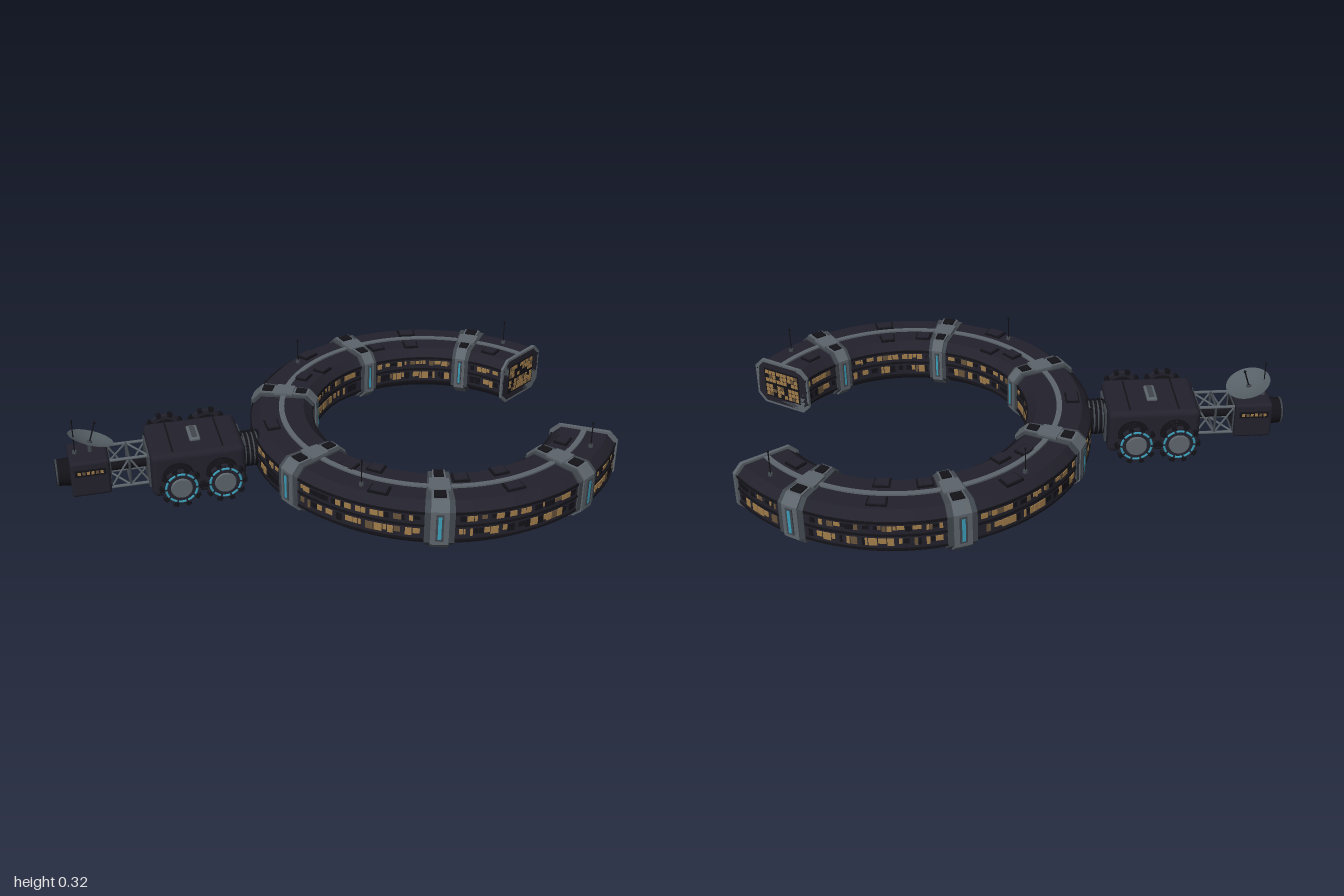
import * as THREE from 'three';
import { mergeGeometries, toCreasedNormals } from 'three/addons/utils/BufferGeometryUtils.js';
import { RoundedBoxGeometry } from 'three/addons/geometries/RoundedBoxGeometry.js';

const CX = 0.412, MID = 0.57, START = 32.5, PITCH = (360 - 2 * START) / 6, AXIS = 0.108;

export function createModel() {
  const model = new THREE.Group();
  const mat = (name, color, side = THREE.FrontSide) => {
    const m = new THREE.MeshStandardMaterial({ color, side });
    m.name = name;
    return m;
  };
  const hull = mat('hull navy', 0x22212c), black = mat('trim black', 0x121218);
  const dark = mat('dark steel', 0x40464d), steel = mat('steel', 0x5c646b);
  const amber = mat('window amber', 0xa07c4a), dim = mat('dim window', 0x66523a);
  const cyan = mat('lamp cyan', 0x3a9db8), pale = mat('dish grey', 0x566066, THREE.DoubleSide);

  let seed = 11;
  const rand = () => (seed = (seed * 16807) % 2147483647) / 2147483647;
  const add = (name, geo, material, parent = model, x = 0, y = 0, z = 0) => {
    const m = new THREE.Mesh(geo, material);
    m.name = name;
    m.position.set(x, y, z);
    parent.add(m);
    return m;
  };
  const rod = (name, a, b, r, material, parent = model) => {
    const from = new THREE.Vector3(...a), dir = new THREE.Vector3(...b).sub(from);
    const m = add(name, new THREE.CylinderGeometry(r, r, dir.length(), 8), material, parent);
    m.position.copy(from).addScaledVector(dir, 0.5);
    m.quaternion.setFromUnitVectors(new THREE.Vector3(0, 1, 0), dir.normalize());
    return m;
  };

  // Sweeps a (radius, height) outline around the ring centre, angles in degrees
  const arc = (pts, a0, a1, steps = 2) => {
    const shape = new THREE.Shape(pts.map(p => new THREE.Vector2(p[0], p[1])));
    const g = new THREE.ExtrudeGeometry(shape, { depth: 1, steps, bevelEnabled: false });
    const p = g.attributes.position;
    for (let i = 0; i < p.count; i++) {
      const a = THREE.MathUtils.degToRad(a0 + (a1 - a0) * p.getZ(i)), r = p.getX(i);
      p.setXYZ(i, CX + r * Math.cos(a), p.getY(i), r * Math.sin(a));
    }
    g.clearGroups();
    g.computeVertexNormals();
    return toCreasedNormals(g, 0.4);
  };
  const rect = (r0, r1, y0, y1) => [[r0, y0], [r1, y0], [r1, y1], [r0, y1]];
  const octagon = (o) => {
    const a = 0.455 - o, b = 0.685 + o, lo = 0.018 - o, hi = 0.19 + o, c = 0.032;
    return [[a + c, lo], [b - c, lo], [b, lo + c], [b, hi - c], [b - c, hi], [a + c, hi], [a, hi - c], [a, lo + c]];
  };

  // Ring hull with roof rail and wall ledges
  const ring = new THREE.Group();
  ring.name = 'habitatRing';
  model.add(ring);
  add('ringHull', arc(octagon(0), START, 360 - START, 120), hull, ring);
  add('roofRail', arc(rect(MID - 0.01, MID + 0.01, 0.188, 0.196), START, 360 - START, 120), steel, ring);
  const ledges = [];
  for (const y of [0.052, 0.108, 0.157])
    for (const [r0, r1] of [[0.451, 0.456], [0.684, 0.689]])
      ledges.push(arc(rect(r0, r1, y - 0.004, y + 0.004), START, 360 - START, 100));
  add('wallLedges', mergeGeometries(ledges), black, ring);

  // Two window rows on the outer and inner walls, in broken runs between collars
  const lit = [], faint = [], shut = [];
  for (let k = 0; k < 7; k++) {
    const a0 = k === 0 ? START + 2.5 : START + (k - 0.5) * PITCH + 5.5;
    const a1 = k === 6 ? 360 - START - 2.5 : START + (k + 0.5) * PITCH - 5.5;
    for (const [r0, r1, s] of [[0.452, 0.457, 1.4], [0.683, 0.688, 1]])
      for (const [y, h] of [[0.135, 0.02], [0.081, 0.028]])
        for (let a = a0; a < a1 - 0.5;) {
          const w = Math.min((0.5 + rand() * 2) * s, a1 - a), t = rand();
          const top = y + h / 2, bottom = rand() < 0.6 ? y - h / 2 : y - h / 5;
          (t < 0.52 ? lit : t < 0.66 ? faint : shut).push(arc(rect(r0, r1, bottom, top), a, a + w, 1));
          a += w + (0.15 + (rand() < 0.25 ? 1.2 : 0.1)) * s;
        }
  }

  // End bulkheads with glazed panels
  const flip = [(a, b) => [a, b], (a, b) => [360 - b, 360 - a]];
  for (const f of flip) {
    add('endFrame', arc(octagon(0.009), ...f(START, START + 1.3)), steel, ring);
    add('endPanel', arc(rect(0.488, 0.652, 0.042, 0.166), ...f(START - 0.15, START)), black, ring);
    for (let i = 0; i < 9; i++)
      for (let j = 0; j < 6; j++) {
        const r = 0.494 + i * 0.0165 + Math.floor(i / 3) * 0.003;
        const y = 0.048 + j * 0.0175 + Math.floor(j / 3) * 0.009;
        const t = rand();
        if (t < 0.85)
          (t < 0.7 ? lit : faint).push(arc(rect(r, r + 0.0145, y, y + 0.015), ...f(START - 0.3, START - 0.1), 1));
      }
  }
  add('litWindows', mergeGeometries(lit), amber, ring);
  add('dimWindows', mergeGeometries(faint), dim, ring);
  add('darkWindows', mergeGeometries(shut), black, ring);

  // Collars with lamps and roof hatches
  for (let k = 0; k < 6; k++) {
    const a = START + (k + 0.5) * PITCH, c = new THREE.Group();
    c.name = 'collar';
    ring.add(c);
    add('collarBase', arc(octagon(0.006), a - 4.3, a + 4.3, 4), dark, c);
    add('collarBand', arc(octagon(0.011), a - 2.6, a + 2.6, 3), steel, c);
    for (const [r0, r1] of [[0.439, 0.446], [0.694, 0.701]]) {
      add('lampFrame', arc(rect(r0 + 0.001, r1 - 0.001, 0.055, 0.16), a - 1.1, a + 1.1), dark, c);
      add('lamp', arc(rect(r0, r1, 0.062, 0.153), a - 0.5, a + 0.5), cyan, c);
    }
    for (const r of [0.505, 0.635])
      add('collarHatch', arc(rect(r - 0.02, r + 0.02, 0.198, 0.206), a - 1.9, a + 1.9), black, c);
    add('collarBridge', arc(rect(MID - 0.035, MID + 0.035, 0.195, 0.204), a - 3.6, a + 3.6), steel, c);
  }

  // Roof boxes scattered between collars
  for (const [a, r] of [[45, 0.52], [82, 0.615], [98, 0.518], [82, 0.51], [131, 0.507], [141, 0.54], [125, 0.63], [180, 0.62]])
    for (const f of a === 180 ? [flip[0]] : flip) {
      add('roofBoxRim', arc(rect(r - 0.025, r + 0.025, 0.188, 0.196), ...f(a - 3.2, a + 3.2)), black, ring);
      add('roofBox', arc(rect(r - 0.02, r + 0.02, 0.19, 0.2), ...f(a - 2.6, a + 2.6)), hull, ring);
    }

  // Whip antennas
  const antenna = (x, y0, y1, z) => {
    rod('antenna', [x, y0, z], [x, y1, z], 0.002, black);
    add('antennaTip', new THREE.SphereGeometry(0.0045, 8, 6), black, model, x, y1, z);
    add('antennaFoot', new THREE.CylinderGeometry(0.008, 0.01, 0.014, 10), dark, model, x, y0 + 0.005, z);
  };
  for (const s of [-1, 1]) {
    antenna(0, 0.188, 0.286, s * 0.47);
    antenna(0.86, 0.188, 0.286, s * 0.43);
  }

  // Ribbed neck between hub and ring
  const along = (m) => { m.rotation.z = Math.PI / 2; return m; };
  along(add('neck', new THREE.CylinderGeometry(0.06, 0.06, 0.11, 28), dark, model, -0.29, AXIS));
  for (let i = 0; i < 5; i++)
    along(add('neckRib', new THREE.CylinderGeometry(0.067, 0.067, 0.009, 28), black, model, -0.327 + i * 0.016, AXIS));

  // Hub with top and bottom plates
  add('hub', new RoundedBoxGeometry(0.34, 0.17, 0.256, 3, 0.022), hull, model, -0.5, 0.11);
  for (const s of [-1, 1]) {
    const y = 0.11 + s * 0.09;
    add('hubPlate', new RoundedBoxGeometry(0.04, s < 0 ? 0.04 : 0.014, 0.1, 2, 0.006), s < 0 ? dark : steel, model, -0.5, y);
    add('hubPlateInset', new THREE.BoxGeometry(0.02, 0.004, 0.08), dark, model, -0.5, y + s * (s < 0 ? 0.018 : 0.006));
    add('hubSeam', new THREE.BoxGeometry(0.006, 0.174, 0.21), black, model, -0.5 + s * 0.09, 0.11);
    add('hubEndPlate', new RoundedBoxGeometry(0.012, 0.13, 0.16, 2, 0.005), dark, model, -0.5 + s * 0.171, AXIS);
  }

  // Four docking ports, built along +y and turned outward
  for (const x of [-0.578, -0.422])
    for (const s of [-1, 1]) {
      const p = new THREE.Group();
      p.name = 'dockingPort';
      p.position.set(x, AXIS, s * 0.126);
      p.rotation.x = s * Math.PI / 2;
      model.add(p);
      add('portNeck', new THREE.CylinderGeometry(0.052, 0.052, 0.07, 28), dark, p, 0, 0.035);
      for (let i = 0; i < 4; i++)
        add('portRib', new THREE.CylinderGeometry(0.057, 0.057, 0.008, 28), black, p, 0, 0.01 + i * 0.016);
      add('portFlange', new THREE.CylinderGeometry(0.068, 0.068, 0.016, 32), hull, p, 0, 0.077);
      add('portDoor', new THREE.CylinderGeometry(0.036, 0.04, 0.008, 28), steel, p, 0, 0.087);
      for (let i = 0; i < 10; i++) {
        const a = i * Math.PI / 5;
        const lug = add('portLug', new THREE.BoxGeometry(0.016, 0.018, 0.018), black, p, 0.069 * Math.cos(a), 0.077, 0.069 * Math.sin(a));
        lug.rotation.y = -a;
        const lamp = add('portLamp', new THREE.TorusGeometry(0.055, 0.0045, 6, 6, 0.5), cyan, p, 0, 0.085);
        lamp.rotation.set(Math.PI / 2, 0, a + 0.07);
      }
    }

  // Lattice truss with a central conduit
  const truss = new THREE.Group();
  truss.name = 'truss';
  model.add(truss);
  const H = 0.055, xs = [-0.67, -0.74, -0.81];
  rod('conduit', [-0.66, AXIS, 0], [-0.82, AXIS, 0], 0.018, black, truss);
  for (let q = 0; q < 4; q++) {
    const corner = (n) => [AXIS + H * [1, 1, -1, -1][n % 4], H * [1, -1, -1, 1][n % 4]];
    const a = corner(q), b = corner(q + 1);
    rod('longeron', [-0.66, ...a], [-0.82, ...a], 0.006, steel, truss);
    for (const x of xs) rod('trussBatten', [x, ...a], [x, ...b], 0.005, dark, truss);
    for (let i = 0; i < 2; i++)
      rod('trussDiagonal', [xs[i], ...(i ? b : a)], [xs[i + 1], ...(i ? a : b)], 0.004, steel, truss);
  }

  // Tail module with thruster
  add('tailModule', new RoundedBoxGeometry(0.14, 0.14, 0.155, 2, 0.012), hull, model, -0.88, 0.11);
  along(add('thruster', new THREE.CylinderGeometry(0.047, 0.052, 0.06, 28), black, model, -0.97, AXIS));
  along(add('thrusterRim', new THREE.TorusGeometry(0.046, 0.004, 8, 28).rotateX(Math.PI / 2), dark, model, -0.995, AXIS));
  for (const s of [-1, 1]) {
    add('tailPanel', new THREE.BoxGeometry(0.11, 0.026, 0.004), black, model, -0.88, 0.138, s * 0.078);
    for (let i = 0; i < 6; i++)
      add('tailWindow', new THREE.BoxGeometry(0.011, 0.012, 0.006), i % 3 === 1 ? dim : amber, model, -0.92 + i * 0.016, 0.138, s * 0.078);
  }
  antenna(-0.925, 0.178, 0.312, 0);

  // Tilted dish with feed
  rod('dishPost', [-0.87, 0.175, 0], [-0.87, 0.222, 0], 0.009, dark);
  const dish = new THREE.Group();
  dish.name = 'dish';
  dish.position.set(-0.87, 0.216, 0);
  dish.quaternion.setFromUnitVectors(new THREE.Vector3(0, 1, 0), new THREE.Vector3(0.32, 0.93, -0.16).normalize());
  model.add(dish);
  const bowl = [0, 0.02, 0.04, 0.06, 0.083].map(r => new THREE.Vector2(r, r * r * 2.4));
  add('dishBowl', new THREE.LatheGeometry(bowl, 36), pale, dish);
  rod('dishFeed', [0, 0, 0], [0, 0.075, 0], 0.0025, black, dish);
  add('dishFeedTip', new THREE.SphereGeometry(0.005, 8, 6), black, dish, 0, 0.075);
  return model;
}
